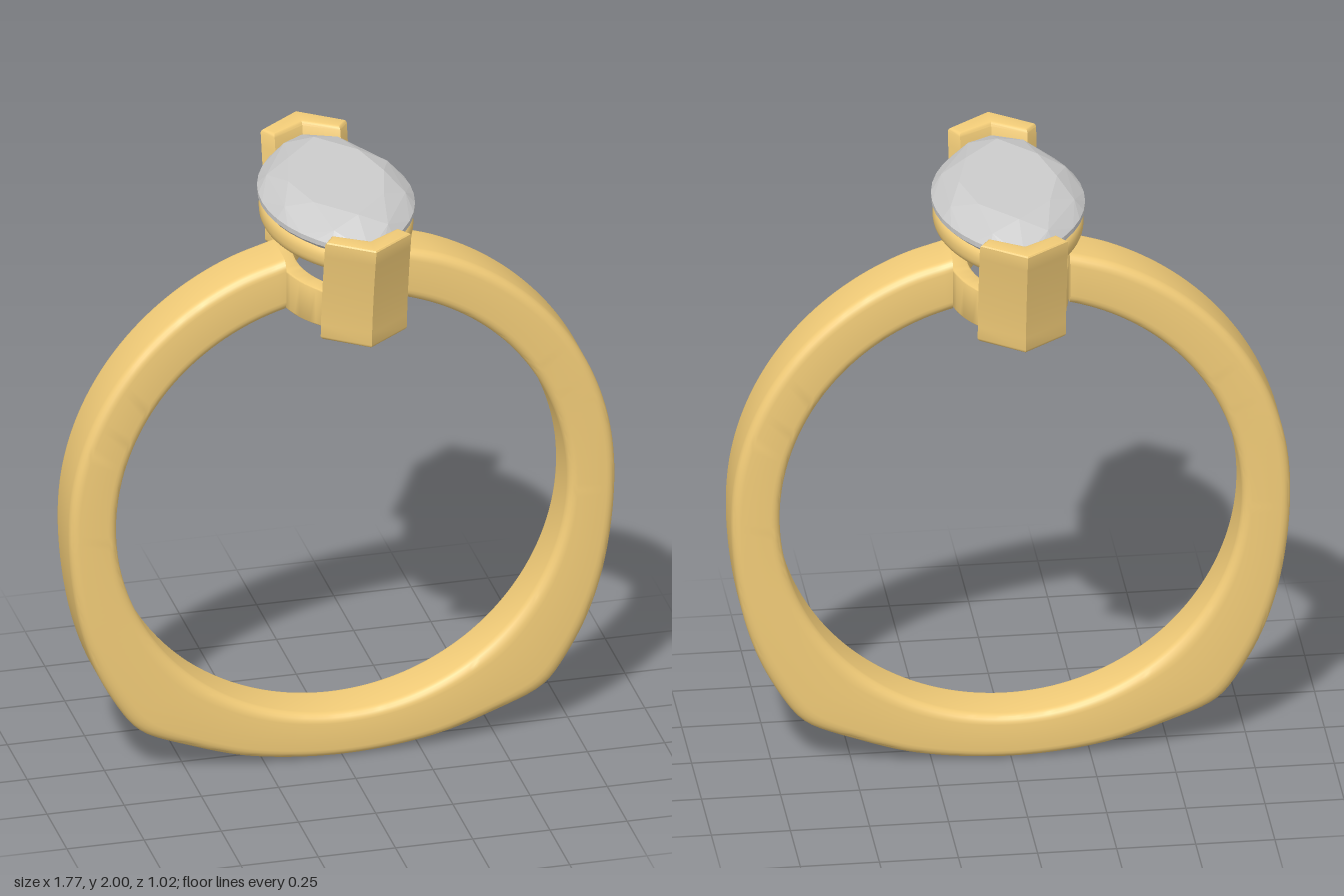
import * as THREE from 'three';
import { toCreasedNormals } from 'three/addons/utils/BufferGeometryUtils.js';
import { ConvexGeometry } from 'three/addons/geometries/ConvexGeometry.js';

const gold = new THREE.MeshStandardMaterial({ color: 0xf2cc78 });
const grey = new THREE.MeshStandardMaterial({ color: 0xcccccc });
const CY = 0.885, R_IN = 0.73; // finger hole

// Rounded rectangle, u in 0..1 (inner to outer), v in -1..1
function section(ru, rv, seg = 5) {
  const pts = [];
  [[1, 1], [0, 1], [0, -1], [1, -1]].forEach(([u, v], q) => {
    const cu = u ? 1 - ru : ru, cv = v * (1 - rv);
    for (let k = 0; k <= seg; k++) {
      const a = (q + k / seg) * Math.PI / 2;
      pts.push([cu + ru * Math.cos(a), cv + rv * Math.sin(a)]);
    }
  });
  return pts;
}

// Skin a section carried along stations; place(i, u, v) gives the point
function sweep(count, sec, place, closed) {
  const m = sec.length, pos = [], idx = [];
  for (let i = 0; i < count; i++) for (const [u, v] of sec) pos.push(...place(i, u, v));
  for (let i = 0; i < (closed ? count : count - 1); i++) {
    const n = (i + 1) % count;
    for (let j = 0; j < m; j++) {
      const k = (j + 1) % m;
      const a = i * m + j, b = i * m + k, c = n * m + j, d = n * m + k;
      idx.push(a, b, c, b, d, c);
    }
  }
  if (!closed) {
    const last = (count - 1) * m;
    for (let j = 1; j < m - 1; j++) {
      idx.push(0, j + 1, j, last, last + j, last + j + 1);
    }
  }
  const g = new THREE.BufferGeometry();
  g.setAttribute('position', new THREE.Float32BufferAttribute(pos, 3));
  g.setIndex(idx);
  return toCreasedNormals(g, 0.6);
}

// Point on a pointed oval, half length L along z, half width W along x
function marquise(t, L, W) {
  const s = t < 0.5 ? 1 : -1, R = (L * L + W * W) / (2 * W);
  const a = Math.asin(L / R) * ((t % 0.5) * 4 - 1);
  return [s * (R * Math.cos(a) - R + W), s * R * Math.sin(a)];
}

function part(name, geometry, material) {
  const mesh = new THREE.Mesh(geometry, material);
  mesh.name = name;
  return mesh;
}

// Band: round above, two soft corners below, open at the top
function bandGeometry() {
  const half = [[0.185, 1.765]];
  for (let k = 1; k <= 8; k++) {
    const a = 0.207 + (Math.PI / 2 - 0.207) * k / 8, r = 0.899 - 0.015 * k / 8;
    half.push([r * Math.sin(a), CY + r * Math.cos(a)]);
  }
  half.push([0.872, 0.7], [0.838, 0.52], [0.785, 0.37], [0.71, 0.235], [0.672, 0.185],
    [0.63, 0.152], [0.5, 0.098], [0.3, 0.035]);
  const mirrored = half.map(([x, y]) => [-x, y]).reverse();
  const curve = new THREE.CatmullRomCurve3(
    [...half, [0, 0.005], ...mirrored].map(([x, y]) => new THREE.Vector3(x, y, 0)));
  const outer = curve.getSpacedPoints(180);
  const a0 = Math.atan2(0.185, 1.765 - CY), b0 = Math.asin(0.185 / R_IN);
  const place = (i, u, v) => {
    const p = outer[i];
    let a = Math.atan2(p.x, p.y - CY);
    if (a < 0) a += 2 * Math.PI;
    // slide the inner angle so that both ends are cut upright
    const b = Math.PI + (a - Math.PI) * (Math.PI - b0) / (Math.PI - a0);
    const x = R_IN * Math.sin(b), y = CY + R_IN * Math.cos(b);
    return [x + (p.x - x) * u, y + (p.y - y) * u, v * 0.095];
  };
  return sweep(outer.length, section(0.2, 0.32), place, false);
}

// Pointed-oval ring; bottom and top heights may vary with position
function ovalRing(outer, inner, sec, bottom, top) {
  const n = 64;
  return sweep(n, sec, (i, u, v) => {
    const [xo, zo] = marquise(i / n, ...outer), [xi, zi] = marquise(i / n, ...inner);
    const x = xi + (xo - xi) * u, z = zi + (zo - zi) * u;
    const lo = bottom(x, z), hi = top(x, z);
    return [x, lo + (hi - lo) * (v + 1) / 2, z];
  }, true);
}

// V-shaped prong, leaning outward toward its top
function prongGeometry() {
  const b = 0.012, y0 = 1.612, y1 = 1.982;
  const shape = new THREE.Shape([[0, 0.497], [-0.123, 0.407], [-0.103, 0.378], [0, 0.442],
    [0.103, 0.378], [0.123, 0.407]].map(p => new THREE.Vector2(...p)));
  const g = new THREE.ExtrudeGeometry(shape, {
    depth: y1 - y0 - 2 * b, steps: 8, bevelEnabled: true,
    bevelSize: b, bevelThickness: b, bevelSegments: 3,
  });
  g.rotateX(-Math.PI / 2).translate(0, y0 + b, 0).rotateY(Math.PI);
  const p = g.attributes.position;
  for (let i = 0; i < p.count; i++) {
    const h = THREE.MathUtils.clamp((p.getY(i) - y0) / (y1 - y0), 0, 1);
    p.setZ(i, p.getZ(i) - 0.06 * (1 - h ** 1.5));
  }
  return toCreasedNormals(g, 0.6);
}

// Faceted stone: convex hull of staggered rings
function stoneGeometry() {
  const pts = [new THREE.Vector3(0, 1.74, 0)];
  const ring = (n, shift, L, W, y) => {
    for (let i = 0; i < n; i++) {
      const [x, z] = marquise((i + shift) / n, L, W);
      pts.push(new THREE.Vector3(x, y, z));
    }
  };
  ring(8, 0.5, 0.27, 0.15, 1.82);
  ring(32, 0, 0.425, 0.24, 1.922);
  ring(32, 0, 0.425, 0.24, 1.938);
  ring(8, 0.5, 0.39, 0.21, 1.972);
  ring(8, 0, 0.28, 0.155, 2.0);
  return new ConvexGeometry(pts);
}

export function createModel() {
  const model = new THREE.Group();
  model.name = 'ring';
  model.add(part('band', bandGeometry(), gold));

  // Setting: lower ring hollowed to the finger hole, upper ring under the stone
  const setting = new THREE.Group();
  setting.name = 'setting';
  setting.add(part('lowerGallery', ovalRing([0.37, 0.188], [0.29, 0.13], section(0.12, 0.1),
    x => CY + Math.sqrt(R_IN * R_IN - x * x),
    (x, z) => 1.725 + 0.15 * z * z), gold));
  setting.add(part('upperGallery', ovalRing([0.41, 0.235], [0.33, 0.175], section(0.45, 0.85),
    () => 1.832, () => 1.91), gold));
  for (const side of [0, 1]) {
    const prong = part(side ? 'backProng' : 'frontProng', prongGeometry(), gold);
    prong.rotation.y = side * Math.PI;
    setting.add(prong);
  }
  model.add(setting);

  model.add(part('stone', stoneGeometry(), grey));
  return model;
}
